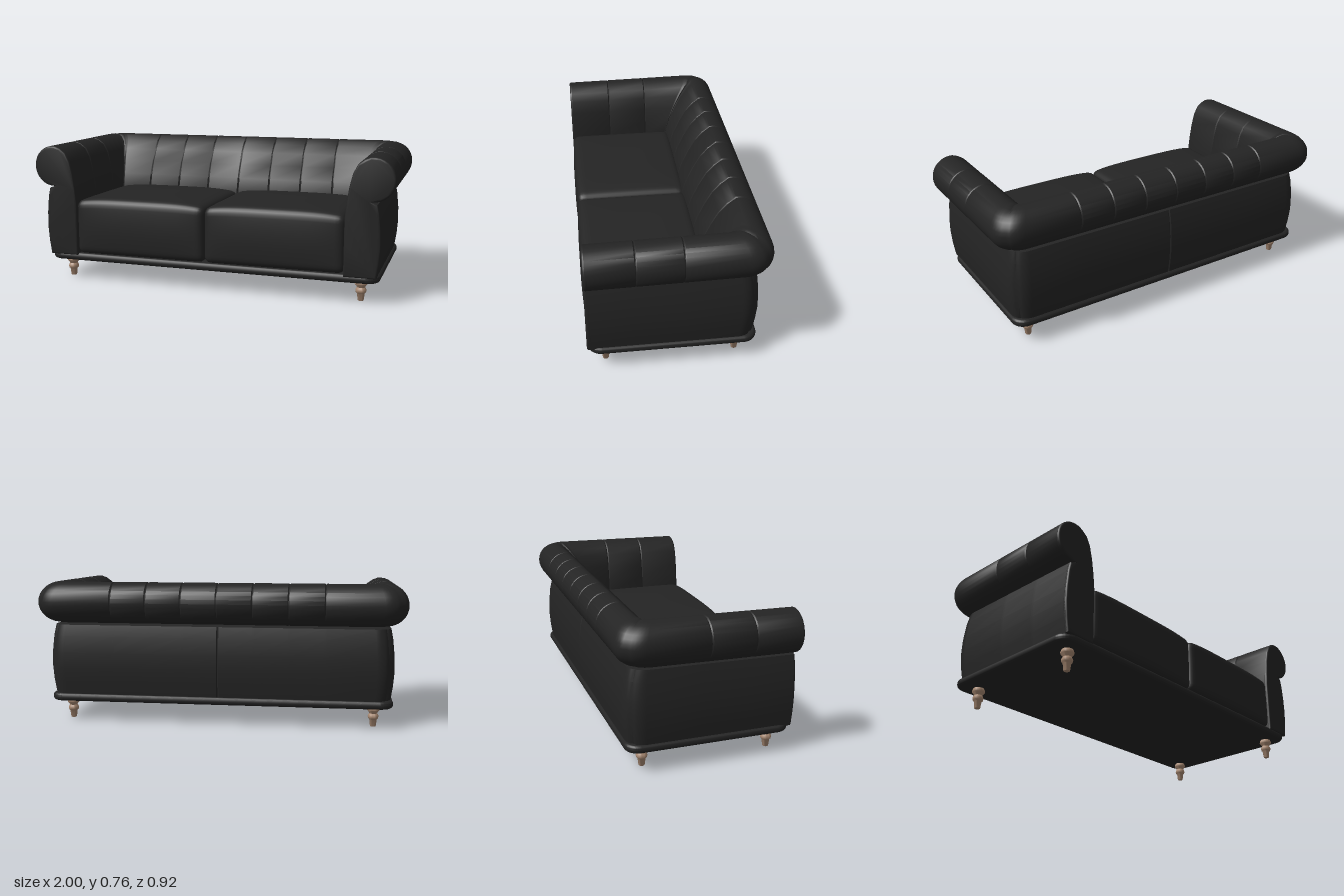
import * as THREE from 'three';
import { mergeVertices, toCreasedNormals } from 'three/addons/utils/BufferGeometryUtils.js';

const leather = new THREE.MeshStandardMaterial({ color: 0x242424 });
leather.name = 'blackLeather';
const wood = new THREE.MeshStandardMaterial({ color: 0xa98a73 });
wood.name = 'turnedWood';

// Upholstery section, inside to outside: x on the arm, distance behind centre on the back, y
function sectionPoints() {
  const pts = [
    [0.75, 0.15, 0.14], [0.75, 0.15, 0.3], [0.75, 0.15, 0.44], [0.758, 0.175, 0.53],
    [0.77, 0.21, 0.61], [0.787, 0.25, 0.68], [0.812, 0.29, 0.728], [0.845, 0.32, 0.752],
  ];
  for (let i = 0; i <= 16; i++) {
    const a = THREE.MathUtils.degToRad(98 - i * 12);
    const c = Math.cos(a) * 0.11, s = Math.sin(a) * 0.112;
    pts.push([0.89 + c, 0.35 + c, 0.652 + s]);
  }
  pts.push([0.913, 0.388, 0.53], [0.924, 0.402, 0.47], [0.933, 0.411, 0.38],
    [0.935, 0.413, 0.3], [0.929, 0.407, 0.22], [0.917, 0.396, 0.14]);
  return pts;
}

// Roll and arms sink slightly towards the front
const sink = (y, z) => (y > 0.5 ? y - 0.012 * (z + 0.4) / 0.85 : y);

// Stations along one half of the U, from the arm front to the middle of the back
function halfStations() {
  const w = 0.006, list = [{ kind: 'arm', at: 0.445 }];
  const seam = (kind, at, body) => {
    list.push({ kind, at: at + w }, { kind, at, pinch: true, body }, { kind, at: at - w });
  };
  seam('arm', 0.21);
  seam('arm', -0.02);
  for (let i = 0; i <= 10; i++) list.push({ kind: 'corner', at: i / 10 * Math.PI / 2, pinch: i === 5, body: true });
  for (const x of [0.57, 0.38, 0.19]) seam('back', x);
  list.push({ kind: 'back', at: w }, { kind: 'back', at: 0, pinch: true, body: true });
  return list;
}

// Sweep the section round the arms and back with rounded corners and stitched channels
function upholsteryGeometry() {
  const section = sectionPoints(), half = halfStations(), n = section.length;
  const stations = [
    ...half.map(s => ({ ...s, side: 1 })),
    ...half.slice(0, -1).reverse().map(s => ({ ...s, side: -1 })),
  ];
  const pos = [], index = [];
  stations.forEach((s, si) => {
    section.forEach(([px, pb, y0], pi) => {
      let x = px, b = pb, y = y0;
      if (s.pinch && (s.body || pi < 24)) {
        // pull the stitched line towards the core of the padding
        const d = new THREE.Vector3(0.86 - x, 0.31 - b, Math.min(y, 0.65) - y).normalize();
        x += d.x * 0.006;
        b += d.y * 0.006;
        y += d.z * 0.006;
      }
      const r = 0.006 + 0.12 * Math.max(0, px - 0.75) / 0.25;
      let X, Z;
      if (s.kind === 'arm') [X, Z] = [x, s.at];
      else if (s.kind === 'back') [X, Z] = [s.at, -b];
      else [X, Z] = [x - r + r * Math.cos(s.at), -b + r - r * Math.sin(s.at)];
      pos.push(X * s.side, sink(y, Z), Z);
      if (si < stations.length - 1 && pi < n - 1) {
        const a = si * n + pi;
        index.push(a, a + 1, a + n, a + 1, a + n + 1, a + n);
      }
    });
  });
  const g = new THREE.BufferGeometry();
  g.setAttribute('position', new THREE.Float32BufferAttribute(pos, 3));
  g.setIndex(index);
  return toCreasedNormals(g, 0.65);
}

// Softly bevelled panel closing the front of an arm
function armFrontGeometry(side) {
  const outline = sectionPoints().map(([x, , y]) => new THREE.Vector2(x * side, sink(y, 0.445)));
  const g = new THREE.ExtrudeGeometry(new THREE.Shape(outline), {
    depth: 0.01, bevelEnabled: true, bevelSize: 0.01, bevelOffset: -0.01,
    bevelThickness: 0.01, bevelSegments: 3,
  });
  g.translate(0, 0, 0.435);
  return toCreasedNormals(g, 0.7);
}

// Rounded seat cushion with a crowned top and a slightly swollen front
function cushionGeometry() {
  const h = new THREE.Vector3(0.377, 0.15, 0.31), r = 0.035;
  const g = new THREE.BoxGeometry(h.x * 2, h.y * 2, h.z * 2, 44, 20, 36);
  g.deleteAttribute('uv');
  g.deleteAttribute('normal');
  const p = g.attributes.position, v = new THREE.Vector3();
  const lo = h.clone().subScalar(r).negate(), hi = h.clone().subScalar(r);
  for (let i = 0; i < p.count; i++) {
    v.fromBufferAttribute(p, i);
    const core = v.clone().clamp(lo, hi);
    v.sub(core).setLength(r).add(core);
    const ux = 1 - (v.x / h.x) ** 4, uy = 1 - (v.y / h.y) ** 2, uz = 1 - (v.z / h.z) ** 4;
    if (v.y > 0) v.y += 0.026 * ux * (0.6 + 0.4 * uz) * v.y / h.y;
    if (v.z > 0) v.z += 0.012 * Math.max(0, ux * uy) * v.z / h.z;
    p.setXYZ(i, v.x, v.y, v.z);
  }
  const m = mergeVertices(g, 1e-4);
  m.computeVertexNormals();
  return m;
}

// Flat plinth with rounded corners and a half-round edge
function plinthGeometry() {
  const x = 0.93, z0 = -0.45, z1 = 0.41, r = 0.07;
  const s = new THREE.Shape();
  s.moveTo(-x + r, z0);
  s.absarc(x - r, z0 + r, r, -Math.PI / 2, 0);
  s.absarc(x - r, z1 - r, r, 0, Math.PI / 2);
  s.absarc(-x + r, z1 - r, r, Math.PI / 2, Math.PI);
  s.absarc(-x + r, z0 + r, r, Math.PI, Math.PI * 1.5);
  const g = new THREE.ExtrudeGeometry(s, {
    depth: 0.006, bevelEnabled: true, bevelSize: 0.018, bevelOffset: -0.018,
    bevelThickness: 0.018, bevelSegments: 5, curveSegments: 10,
  });
  g.rotateX(-Math.PI / 2).translate(0, 0.127, 0);
  return toCreasedNormals(g, 0.7);
}

// Turned leg
function legGeometry() {
  const profile = [[0, 0], [0.014, 0], [0.016, 0.004], [0.02, 0.038], [0.026, 0.044], [0.029, 0.054],
    [0.026, 0.064], [0.021, 0.071], [0.024, 0.078], [0.032, 0.087], [0.034, 0.094], [0.031, 0.103], [0.026, 0.113]];
  const g = new THREE.LatheGeometry(profile.map(([x, y]) => new THREE.Vector2(x, y)), 24);
  return toCreasedNormals(g, 0.9);
}

export function createModel() {
  const sofa = new THREE.Group();
  sofa.name = 'sofa';
  const add = (name, geometry, material, x = 0, y = 0, z = 0) => {
    const mesh = new THREE.Mesh(geometry, material);
    mesh.name = name;
    mesh.position.set(x, y, z);
    sofa.add(mesh);
  };

  add('plinth', plinthGeometry(), leather);
  add('armsAndBack', upholsteryGeometry(), leather);

  const cushion = cushionGeometry(), leg = legGeometry();
  for (const [side, label] of [[1, 'left'], [-1, 'right']]) {
    add(label + 'ArmFront', armFrontGeometry(side), leather);
    add(label + 'SeatCushion', cushion, leather, side * 0.377, 0.3, 0.14);
    add(label + 'FrontLeg', leg, wood, side * 0.83, 0, 0.36);
    add(label + 'BackLeg', leg, wood, side * 0.83, 0, -0.31);
  }
  return sofa;
}
